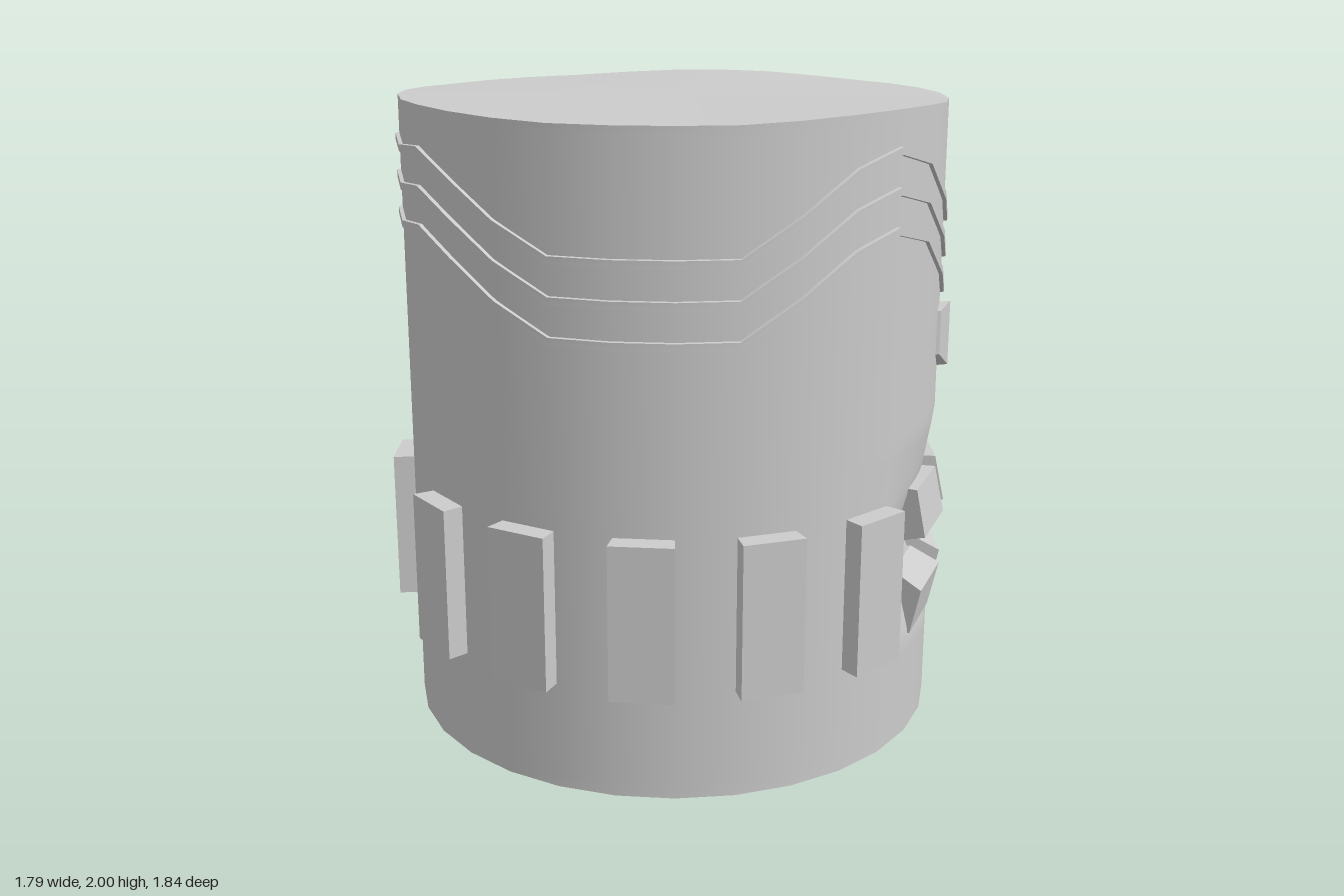
import * as THREE from 'three';
import { toCreasedNormals } from 'three/addons/utils/BufferGeometryUtils.js';
import { ConvexGeometry } from 'three/addons/geometries/ConvexGeometry.js';

const R = 0.858, CX = 0.008, SIDES = 30, STEP = 360 / SIDES;
const rad = THREE.MathUtils.degToRad;

// piecewise linear lookup in [[x, y], ...]
function lerpTable(table, x) {
  if (x <= table[0][0]) return table[0][1];
  for (let i = 1; i < table.length; i++) {
    const [x0, y0] = table[i - 1], [x1, y1] = table[i];
    if (x <= x1) return y0 + (y1 - y0) * (x - x0) / (x1 - x0);
  }
  return table[table.length - 1][1];
}

// wave height around the barrel; angle in degrees from +x, same on both sides
const WAVE = [[0, 1.615], [24, 1.615], [36, 1.71], [48, 1.84], [60, 1.885], [72, 1.84],
  [84, 1.725], [96, 1.615], [132, 1.615], [144, 1.7], [156, 1.8], [168, 1.87], [180, 1.855]];
const wave = (deg) => lerpTable(WAVE, deg);

// mouth hollow: depth by height, fading with angle
const DENT = [[0.34, 0], [0.5, 0.07], [0.58, 0.105], [0.66, 0.1], [0.82, 0.03], [1.0, 0]];
const DENT_FADE = [[36, 1], [48, 0.6], [60, 0]];

// sweeps a counterclockwise [radius, y] profile through the given angles
function sweep(angles, profileAt, capped) {
  const pos = [];
  const rings = angles.map((deg) => profileAt(deg).map(([r, y]) =>
    [CX + r * Math.cos(rad(deg)), y, r * Math.sin(rad(deg))]));
  const tri = (a, b, c) => pos.push(...a, ...b, ...c);
  for (let k = 0; k < rings.length - 1; k++) {
    const p = rings[k], q = rings[k + 1], n = p.length;
    for (let i = 0; i < n; i++) {
      const j = (i + 1) % n;
      tri(p[i], p[j], q[i]);
      tri(p[j], q[j], q[i]);
    }
  }
  if (capped) {
    const s = rings[0], e = rings[rings.length - 1];
    for (let i = 1; i < s.length - 1; i++) {
      tri(s[0], s[i + 1], s[i]);
      tri(e[0], e[i], e[i + 1]);
    }
  }
  const g = new THREE.BufferGeometry();
  g.setAttribute('position', new THREE.Float32BufferAttribute(pos, 3));
  return toCreasedNormals(g, rad(25));
}

function bodyGeometry() {
  const g = new THREE.CylinderGeometry(R, R, 2, SIDES, 50, false, rad(STEP / 2));
  g.translate(0, 1, 0);
  const p = g.attributes.position;
  for (let i = 0; i < p.count; i++) {
    const x = p.getX(i), y = p.getY(i), z = p.getZ(i);
    const deg = Math.abs(THREE.MathUtils.radToDeg(Math.atan2(z, x)));
    const onRim = Math.hypot(x, z) > 0.1;
    const k = onRim ? 1 - lerpTable(DENT, y) * lerpTable(DENT_FADE, deg) / R : 1;
    // the rim follows the wave slightly
    const top = onRim ? 1.985 + 0.055 * (wave(deg) - 1.615) : 1.99;
    p.setXYZ(i, CX + x * k, y > 1.99 ? top : y, z * k);
  }
  return toCreasedNormals(g, rad(50));
}

export function createModel() {
  const model = new THREE.Group();
  const material = new THREE.MeshStandardMaterial({ color: 0xcccccc });
  const add = (name, geometry) => {
    const mesh = new THREE.Mesh(geometry, material);
    mesh.name = name;
    model.add(mesh);
  };

  add('body', bodyGeometry());

  // three raised wavy bands below the rim
  const around = Array.from({ length: SIDES + 1 }, (_, i) => i * STEP);
  for (let b = 0; b < 3; b++) {
    add('waveBand', sweep(around, (deg) => {
      const y = wave(Math.min(deg, 360 - deg)) - 0.115 * b;
      return [[R - 0.03, y - 0.018], [R + 0.012, y - 0.012], [R + 0.012, y + 0.01], [R - 0.03, y + 0.014]];
    }, false));
  }

  const bar = [[0.8, 0.34], [0.925, 0.34], [0.925, 0.82], [0.8, 0.82]];
  const upperTooth = [[0.72, 0.66], [0.8, 0.64], [0.9, 0.67], [0.868, 0.82], [0.72, 0.82]];
  const lowerTooth = [[0.72, 0.34], [0.862, 0.34], [0.895, 0.49], [0.8, 0.54], [0.72, 0.53]];
  // [z, y, x] corners of an eye
  const eye = [[0.47, 1.34, 0.735], [0.35, 1.34, 0.83], [0.22, 1.27, 0.848],
    [0.22, 1.2, 0.848], [0.35, 1.13, 0.83], [0.47, 1.2, 0.735]];

  for (const s of [1, -1]) {
    const block = (name, a, b, profile) =>
      add(name, sweep(s > 0 ? [a, b] : [-b, -a], () => profile, true));

    // upright bars on every other side of the barrel
    for (let a = 60; a <= 156; a += 2 * STEP) block('bar', a, a + STEP, bar);

    // teeth around the mouth hollow
    for (const [a, b] of [[12, 24], [31, 48]]) {
      block('upperTooth', a, b, upperTooth);
      block('lowerTooth', a, b, lowerTooth);
    }

    const points = eye.flatMap(([z, y, x]) =>
      [new THREE.Vector3(x, y, s * z), new THREE.Vector3(x - 0.12, y, s * z)]);
    add('eye', new ConvexGeometry(points));
  }
  return model;
}
